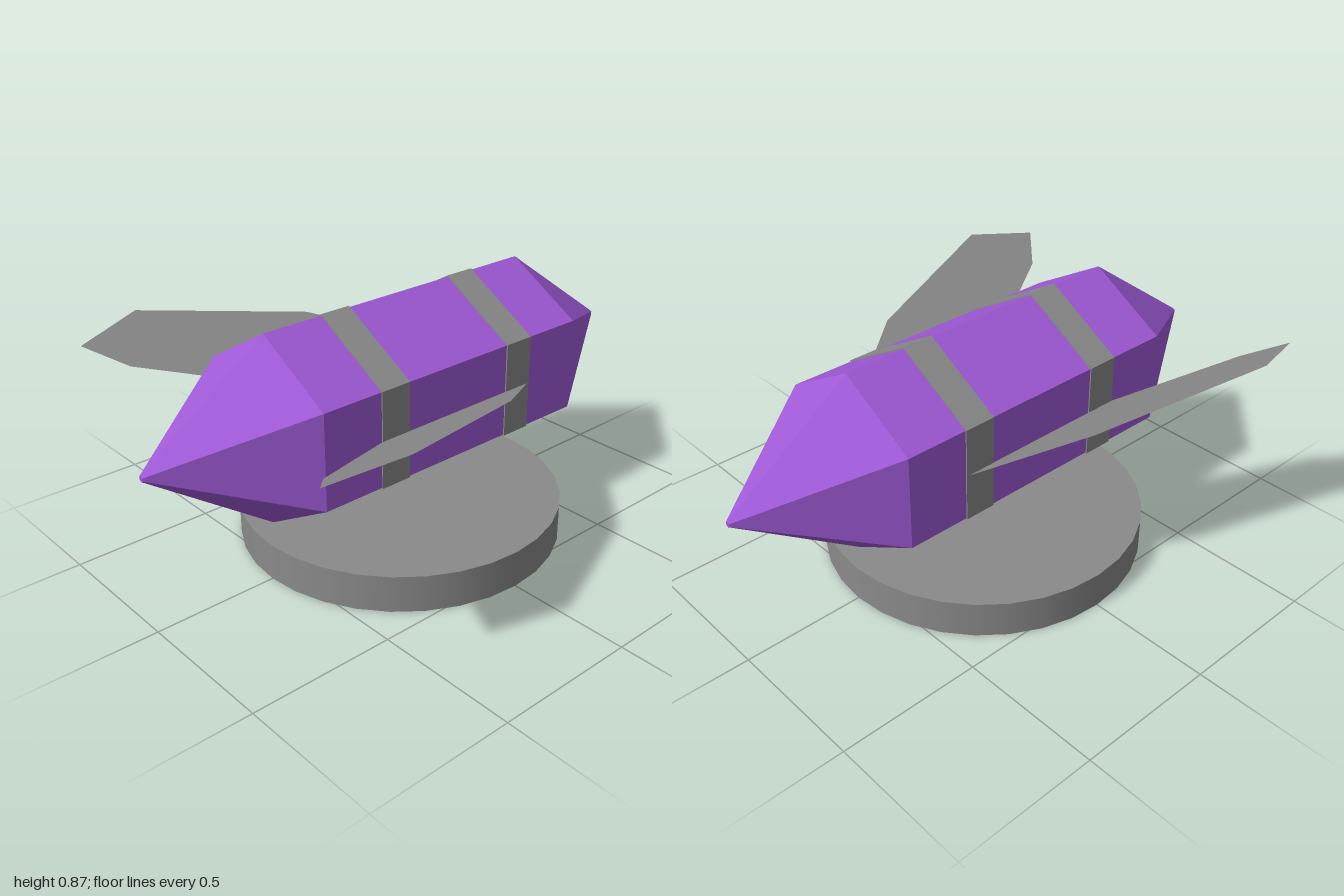
import * as THREE from 'three';

const AXIS_Y = 0.538; // height of the crystal's long axis

// Six-sided faceted solid along z, from [radius, z] profile points
function hexSolid(profile) {
  const points = profile.map(([r, z]) => new THREE.Vector2(r, z));
  const geometry = new THREE.LatheGeometry(points, 6).toNonIndexed();
  geometry.rotateX(Math.PI / 2);
  geometry.computeVertexNormals();
  return geometry;
}

export function createModel() {
  const group = new THREE.Group();

  const purple = new THREE.MeshStandardMaterial({ color: 0xa05ad8, flatShading: true });
  purple.name = 'crystalPurple';
  const gray = new THREE.MeshStandardMaterial({ color: 0x8a8a8a, side: THREE.DoubleSide });
  gray.name = 'metalGray';

  const add = (name, geometry, material, y = 0, z = 0) => {
    const mesh = new THREE.Mesh(geometry, material);
    mesh.name = name;
    mesh.position.set(0, y, z);
    group.add(mesh);
  };

  // Crystal body with a nearly sharp point at each end
  add('crystal', hexSolid([
    [0, -1], [0.01, -1], [0.328, -0.55], [0.328, 0.55], [0.01, 1], [0, 1],
  ]), purple, AXIS_Y);

  // Two bands clasping the crystal
  for (const [name, z] of [['frontBand', 0.273], ['backBand', -0.273]]) {
    add(name, hexSolid([
      [0.32, -0.056], [0.333, -0.056], [0.333, 0.056], [0.32, 0.056],
    ]), gray, AXIS_Y, z);
  }

  // Swept wings: flat outline in x and z, tilted up away from the body
  const outline = [
    [0.286, -0.325], [0.51, 0], [0.704, 0.585], [0.627, 0.835], [0.505, 0.73], [0.286, 0.328],
  ];
  for (const [name, side] of [['leftWing', 1], ['rightWing', -1]]) {
    const shape = new THREE.Shape(outline.map(([x, z]) => new THREE.Vector2(side * x, -z)));
    const geometry = new THREE.ShapeGeometry(shape).rotateX(-Math.PI / 2);
    const p = geometry.attributes.position;
    for (let i = 0; i < p.count; i++) {
      p.setY(i, 0.535 + 0.515 * (Math.abs(p.getX(i)) - 0.286));
    }
    geometry.computeVertexNormals();
    add(name, geometry, gray);
  }

  // Round base: wall and top only, open underneath
  add('baseWall', new THREE.CylinderGeometry(0.565, 0.565, 0.13, 32, 1, true), gray, 0.065);
  add('baseTop', new THREE.CircleGeometry(0.565, 32).rotateX(-Math.PI / 2), gray, 0.13);

  return group;
}
